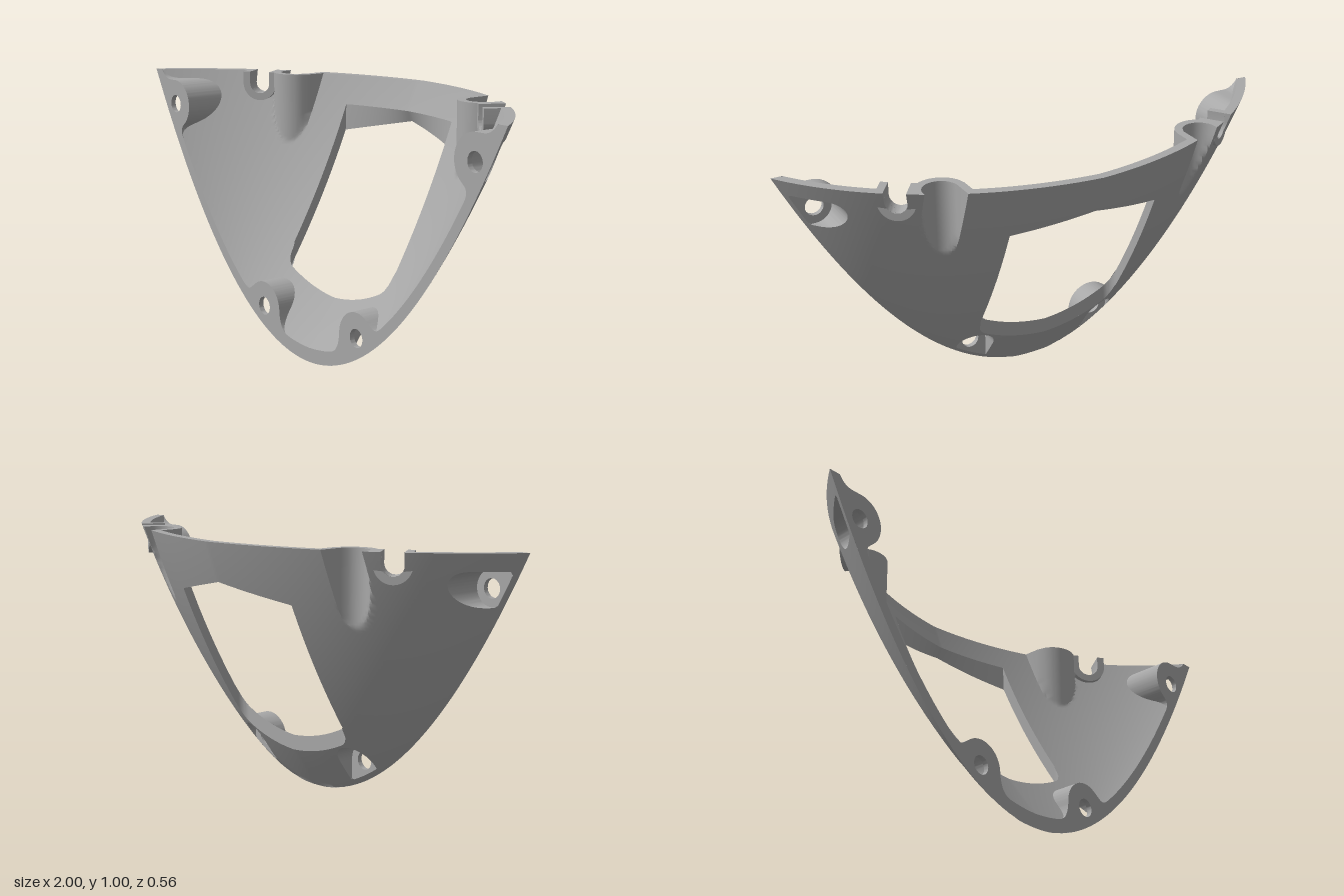
import * as THREE from 'three';
import { toCreasedNormals } from 'three/addons/utils/BufferGeometryUtils.js';

const FRONT = 0.28, FLOOR = 0.26, THICK = 0.034;
const GROOVE = { x: 0.53, z: -0.085, r: 0.065, R: 0.095 };
const SLOT = { x: 0.685, y: 0.955, z: -0.05, r: 0.04, c: 0.82, s: 0.57 };

// ---- Shell surfaces, as depth z over (x, y) ----
function base(x, y) {
  const d = 0.805 * y - 0.272 * y * y + 0.027 * y ** 3;
  const u = Math.min(1.15, Math.abs(x) / Math.sqrt(Math.max(y, 1e-6)));
  const arc = 1.173 - Math.sqrt(1.376 - u * u) + 0.07 * u * (1 - u);
  return FRONT - d * (1 - arc / 0.56);
}
function inside(x, y) {
  const e = 0.004;
  const gx = (base(x + e, y) - base(x - e, y)) / (2 * e);
  const gy = (base(x, y + e) - base(x, y - e)) / (2 * e);
  return base(x, y) + THICK * Math.sqrt(1 + gx * gx + gy * gy);
}
// Vertical round channel pressed into the back of each side
function channel(z, x, r) {
  const d = Math.abs(x) - GROOVE.x;
  return Math.abs(d) < r ? Math.max(z, GROOVE.z + Math.sqrt(r * r - d * d)) : z;
}
const outerZ = (x, y) => channel(base(x, y), x, GROOVE.r);
const innerZ = (x, y) => channel(inside(x, y), x, GROOVE.R);

// ---- Region functions, positive inside ----
const outline = ([x, y]) => y - x * x;
const pad = ([x, y], r) => Math.max(
  r - Math.hypot(Math.min(Math.abs(x) - 0.86, 0), y - 0.87),
  r - Math.hypot(Math.abs(x) - 0.275, Math.max(y - 0.155, 0)));
const hole = ([x, y]) => 0.035 - Math.min(
  Math.hypot(Math.abs(x) - 0.86, y - 0.87), Math.hypot(Math.abs(x) - 0.275, y - 0.155));
function flange(p) {
  const a = pad(p, 0.095), b = (inside(p[0], p[1]) - FRONT) * 0.8, k = 0.05;
  const h = Math.max(k - Math.abs(a - b), 0) / k;
  return Math.max(a, b) + h * h * k / 4;
}
const pocket = (p) => Math.min(pad(p, 0.065), FLOOR - outerZ(p[0], p[1]));
const slot = ([x, y, z]) => SLOT.r - Math.hypot(
  (Math.abs(x) - SLOT.x) * SLOT.c + (z - SLOT.z) * SLOT.s, Math.min(0, y - SLOT.y));
const windowTop = [(x) => 0.85 - 0.2 * Math.abs(x), () => 0.89];
function windowSill(x) {
  const d = Math.min(0.04, Math.max(0, Math.abs(x) - 0.26));
  return 0.115 + Math.sqrt(0.0016 - d * d);
}
const opening = (k) => ([x, y, z]) =>
  Math.min(0.3 - Math.abs(x), windowSill(x) - z, windowTop[k](x) - y);
const not = (f) => (p) => -f(p);

// ---- Mesh helpers working on lists of triangles ----
const columns = [];
for (let i = -90; i <= 90; i++) columns.push(i / 90);
for (const s of [-1, 1]) {
  columns.push(s * 0.3);
  for (const r of [GROOVE.r, GROOVE.R])
    for (const t of [-r, r]) columns.push(s * (GROOVE.x + t - 0.0004), s * (GROOVE.x + t + 0.0004));
}
columns.sort((a, b) => a - b);
const quad = (a, b, c, d) => [[a, b, c], [a, c, d]];

function sheet(zAt) {
  const tris = [], rows = 90;
  const lines = columns.map((x) => Array.from({ length: rows + 1 }, (_, j) => [x, j / rows, zAt(x, j / rows)]));
  for (let i = 0; i < columns.length - 1; i++)
    for (let j = 0; j < rows; j++)
      tris.push(...quad(lines[i][j], lines[i + 1][j], lines[i + 1][j + 1], lines[i][j + 1]));
  return tris;
}
// Keeps the part where f > 0; the cut edges are added to segs
function clip(tris, f, segs = []) {
  const out = [];
  for (const t of tris) {
    const v = t.map(f), poly = [];
    let exit = null, entry = null;
    for (let i = 0; i < 3; i++) {
      const j = (i + 1) % 3;
      if (v[i] > 0) poly.push(t[i]);
      if (v[i] > 0 !== v[j] > 0) {
        const k = v[i] / (v[i] - v[j]);
        const p = t[i].map((c, n) => c + (t[j][n] - c) * k);
        poly.push(p);
        if (v[i] > 0) exit = p; else entry = p;
      }
    }
    for (let i = 2; i < poly.length; i++) out.push([poly[0], poly[i - 1], poly[i]]);
    if (exit) segs.push([exit, entry]);
  }
  return out;
}
const wall = (segs, to) => segs.flatMap(([a, b]) => quad(b, a, to(a), to(b)));
const loft = (a, b) => a.slice(1).flatMap((p, i) => quad(a[i], p, b[i + 1], b[i]));

export function createModel() {
  const group = new THREE.Group();
  const grey = new THREE.MeshStandardMaterial({ color: 0xa8a8a8, side: THREE.DoubleSide });
  grey.name = 'grey';
  const add = (name, tris, flip = false) => {
    const pos = tris.flatMap((t) => (flip ? [t[0], t[2], t[1]] : t)).flat();
    const geo = new THREE.BufferGeometry();
    geo.setAttribute('position', new THREE.Float32BufferAttribute(pos, 3));
    const mesh = new THREE.Mesh(toCreasedNormals(geo, 0.5), grey);
    mesh.name = name;
    group.add(mesh);
  };
  const toZ = (z) => (p) => [p[0], p[1], z];

  // Back skin with window, screw pockets and rim slots cut out
  const pocketEdge = [], slotEdge = [];
  let back = clip(sheet(outerZ), outline);
  back = clip(back, not(pocket), pocketEdge);
  back = clip(back, not(opening(0)));
  back = clip(back, not(slot), slotEdge);
  add('backSkin', back, true);
  add('pocketWalls', wall(pocketEdge, toZ(FLOOR)), true);
  add('slotWalls', wall(slotEdge, ([x, y, z]) =>
    [x - Math.sign(x) * SLOT.s * 0.06, y, z + SLOT.c * 0.06]), true);

  // Inner skin
  let inner = clip(sheet(innerZ), not(flange));
  inner = clip(inner, not(opening(1)));
  add('innerSkin', clip(inner, not(slot)));

  // Flat front flange with screw pads
  const padEdge = [], holeEdge = [];
  const flat = clip(sheet(() => FRONT), outline);
  const face = clip(flat, flange, padEdge);
  add('frontFlange', clip(face, not(hole)));
  add('padWalls', wall(padEdge, (p) => [p[0], p[1], Math.min(FRONT, innerZ(p[0], p[1]))]));

  // Pocket floors and screw holes
  const floor = clip(sheet(() => FLOOR), pocket);
  add('pocketFloors', clip(floor, not(hole), holeEdge), true);
  add('screwHoles', wall(holeEdge, toZ(FRONT)));

  // Flat top rim
  const rimBack = columns.map((x) => [x, 1, outerZ(x, 1)]);
  const rimFront = columns.map((x) => [x, 1, flange([x, 1]) > 0 ? FRONT : innerZ(x, 1)]);
  add('topRim', clip(loft(rimFront, rimBack), not(slot)));

  // Window reveal: sill, head and two sides, lofted from back to inner skin
  const surfaces = [outerZ, innerZ], N = 60;
  const sillY = (k, x) => {
    let lo = 0.1, hi = 0.8;
    for (let i = 0; i < 30; i++) {
      const m = (lo + hi) / 2;
      if (surfaces[k](x, m) > windowSill(x)) lo = m; else hi = m;
    }
    return lo;
  };
  const edge = (k, at) => Array.from({ length: N + 1 }, (_, i) => {
    const [x, y] = at(k, i / N);
    return [x, y, surfaces[k](x, y)];
  });
  const reveal = (name, at, flip) => add(name, loft(edge(0, at), edge(1, at)), flip);
  const across = (t) => 0.3 * Math.sin((t - 0.5) * Math.PI);
  reveal('windowSill', (k, t) => [across(t), sillY(k, across(t))], true);
  reveal('windowHead', (k, t) => [across(t), windowTop[k](across(t))], false);
  for (const s of [-1, 1])
    reveal('windowSide', (k, t) => {
      const y0 = sillY(k, 0.3);
      return [s * 0.3, y0 + (windowTop[k](0.3) - y0) * t];
    }, s > 0);

  // U-shaped collars inside the rim slots
  const u = new THREE.Shape();
  const top = 1 - SLOT.y, R = 0.068;
  u.moveTo(-R, top);
  u.lineTo(-R, 0);
  u.absarc(0, 0, R, Math.PI, Math.PI * 2, false);
  u.lineTo(R, top);
  u.lineTo(SLOT.r, top);
  u.lineTo(SLOT.r, 0);
  u.absarc(0, 0, SLOT.r, 0, -Math.PI, true);
  u.lineTo(-SLOT.r, top);
  u.closePath();
  const collarGeo = toCreasedNormals(
    new THREE.ExtrudeGeometry(u, { depth: 0.07, bevelEnabled: false, curveSegments: 20 }), 0.5);
  for (const s of [-1, 1]) {
    const collar = new THREE.Mesh(collarGeo, grey);
    collar.name = s > 0 ? 'leftCollar' : 'rightCollar';
    collar.position.set(s * (SLOT.x - SLOT.s * 0.03), SLOT.y, SLOT.z + SLOT.c * 0.03);
    collar.rotation.y = -s * Math.atan2(SLOT.s, SLOT.c);
    group.add(collar);
  }
  return group;
}
